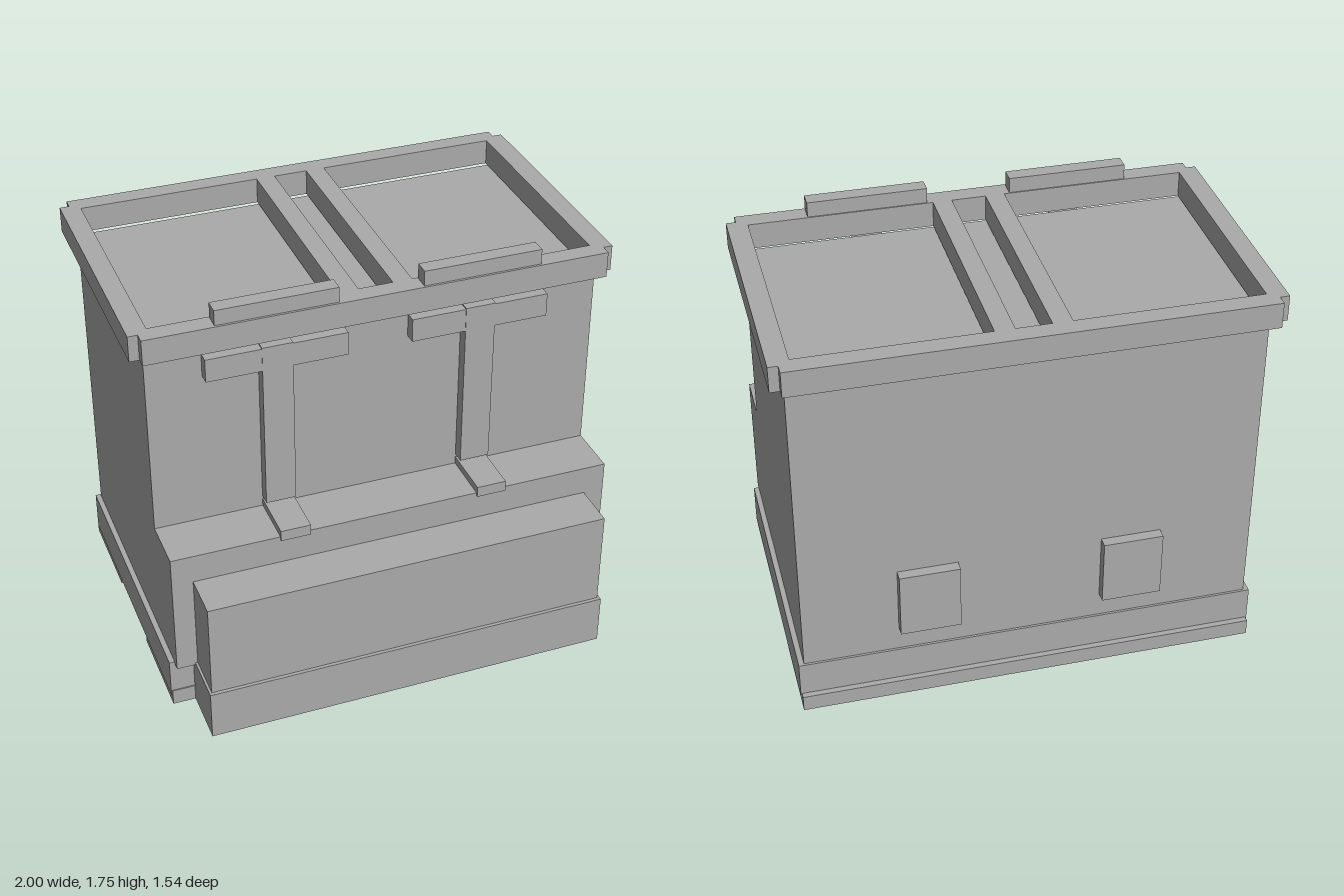
import * as THREE from 'three';

const grey = new THREE.MeshStandardMaterial({ color: 0xaaaaaa });
grey.name = 'plain grey';

export function createModel() {
  const model = new THREE.Group();
  model.name = 'doubleBin';

  const add = (name, geometry) => {
    const mesh = new THREE.Mesh(geometry, grey);
    mesh.name = name;
    model.add(mesh);
    return mesh;
  };
  // box given by its extents on each axis
  const box = (name, [x0, x1], [y0, y1], [z0, z1]) =>
    add(name, new THREE.BoxGeometry(x1 - x0, y1 - y0, z1 - z0)
      .translate((x0 + x1) / 2, (y0 + y1) / 2, (z0 + z1) / 2));
  const points = (list) => list.map(([x, y]) => new THREE.Vector2(x, y));

  // Stepped body: side profile (z, y) extruded across the width
  const profile = new THREE.Shape(points([
    [-0.69, 0.21], [0.56, 0.21], [0.56, 0.765], [0.335, 0.765], [0.335, 1.57], [-0.69, 1.57],
  ]));
  add('body', new THREE.ExtrudeGeometry(profile, { depth: 1.885, bevelEnabled: false })
    .rotateY(-Math.PI / 2).translate(0.9425, 0, 0));

  // Base slab on two full-width runners
  box('baseSlab', [-0.965, 0.965], [0.045, 0.22], [-0.70, 0.525]);
  box('frontRunner', [-0.96, 0.96], [0, 0.07], [0.11, 0.53]);
  box('backRunner', [-0.96, 0.96], [0, 0.07], [-0.725, -0.31]);

  // Front box with its skirt
  box('frontBox', [-0.855, 0.855], [0.21, 0.64], [0.55, 0.755]);
  box('frontSkirt', [-0.865, 0.865], [0, 0.22], [0.53, 0.77]);

  // Lid frame with notched corners and three openings, drawn as (x, -z)
  const frame = new THREE.Shape(points([
    [-0.96, -0.405], [0.96, -0.405], [0.96, -0.36], [1, -0.36], [1, 0.725], [0.96, 0.725],
    [0.96, 0.77], [-0.96, 0.77], [-0.96, 0.725], [-1, 0.725], [-1, -0.36], [-0.96, -0.36],
  ]));
  for (const [x0, x1] of [[-0.918, -0.153], [-0.073, 0.07], [0.15, 0.915]]) {
    frame.holes.push(new THREE.Path(points([
      [x0, -0.325], [x0, 0.69], [x1, 0.69], [x1, -0.325],
    ])));
  }
  add('lidFrame', new THREE.ExtrudeGeometry(frame, { depth: 0.11, bevelEnabled: false })
    .rotateX(-Math.PI / 2).translate(0, 1.58, 0));

  // Repeated fittings on each half
  for (const [side, x] of [['right', -0.425], ['left', 0.422]]) {
    box(`${side}LidGrip`, [x - 0.249, x + 0.249], [1.69, 1.755], [0.33, 0.395]);
    box(`${side}Stem`, [x - 0.063, x + 0.063], [0.812, 1.545], [0.335, 0.387]);
    box(`${side}Crossbar`, [x - 0.29, x + 0.29], [1.44, 1.54], [0.335, 0.385]);
    box(`${side}Pedal`, [x - 0.063, x + 0.063], [0.75, 0.797], [0.335, 0.568]);
    box(`${side}BackPlate`, [x - 0.125, x + 0.125], [0.33, 0.62], [-0.735, -0.69]);
  }
  return model;
}
